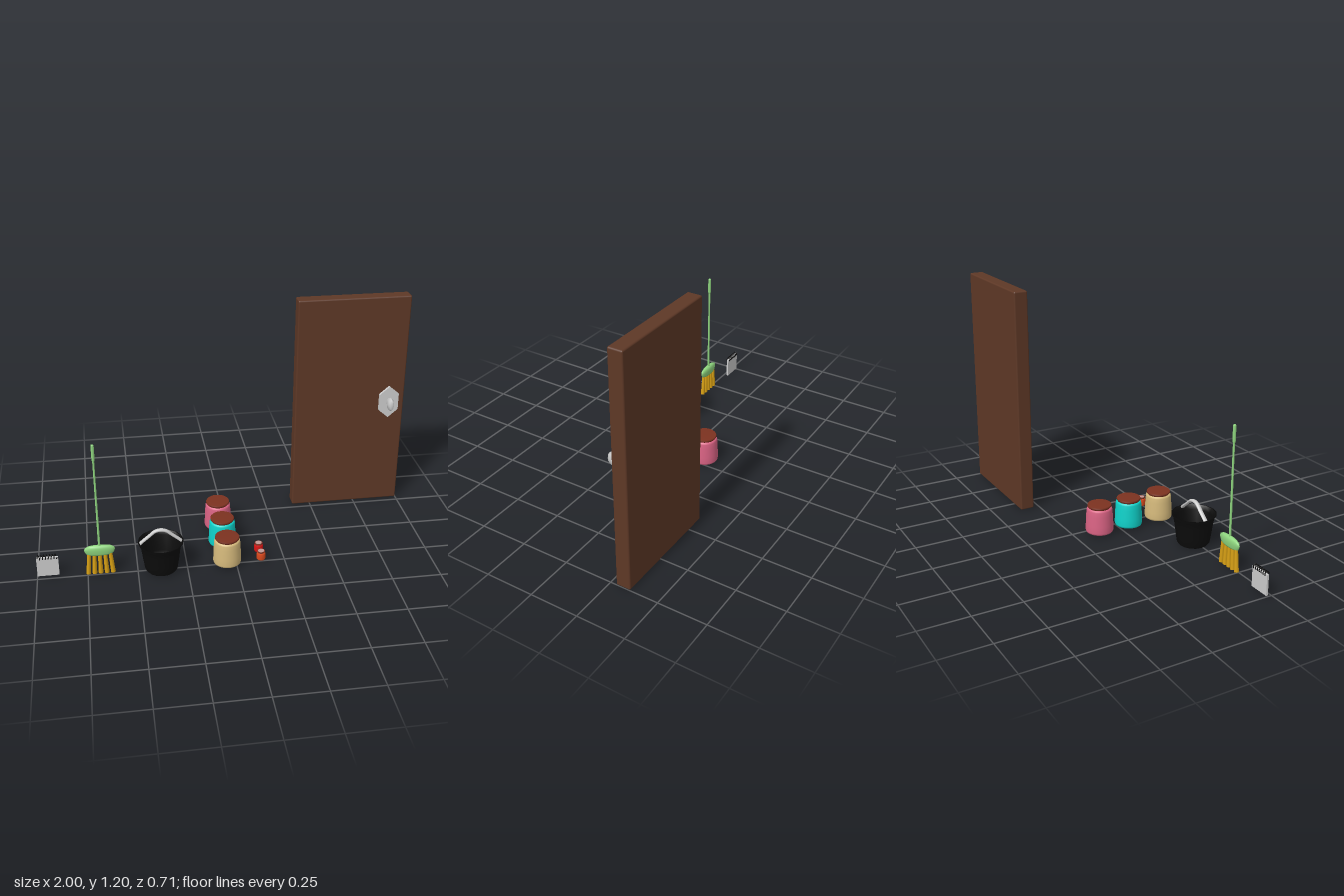
import * as THREE from 'three';
import { RoundedBoxGeometry } from 'three/addons/geometries/RoundedBoxGeometry.js';

const mat = (color, extra = {}) => new THREE.MeshStandardMaterial({ color, ...extra });
const grey = mat(0xcccccc);
const black = mat(0x0c0c0c, { side: THREE.DoubleSide });
const green = mat(0x8fd67f);
const yellow = mat(0xd9a114);
const wood = mat(0x5e3826);
const lidBrown = mat(0x7c3220);

function add(parent, name, geometry, material, x = 0, y = 0, z = 0) {
  const mesh = new THREE.Mesh(geometry, material);
  mesh.name = name;
  mesh.position.set(x, y, z);
  parent.add(mesh);
  return mesh;
}

function group(parent, name, x = 0, y = 0, z = 0) {
  const g = new THREE.Group();
  g.name = name;
  g.position.set(x, y, z);
  parent.add(g);
  return g;
}

// Lathe from [radius, height] pairs, listed bottom to top
const lathe = (points, sides) =>
  new THREE.LatheGeometry(points.map(([r, y]) => new THREE.Vector2(r, y)), sides);

function addDoor(root) {
  const door = group(root, 'door', 0.7, 0.605, -0.318);
  add(door, 'doorPanel', new RoundedBoxGeometry(0.6, 1.2, 0.075, 2, 0.008), wood);

  // Stretched hexagonal plate with a narrow knob
  const lock = group(door, 'doorHandle', 0.213, 0.008, 0.038);
  const plate = add(lock, 'handlePlate', new THREE.CylinderGeometry(0.09, 0.09, 0.015, 6), mat(0xcccccc, { flatShading: true }), 0, 0, 0.008);
  plate.rotation.x = Math.PI / 2;
  plate.scale.x = 0.68;
  const knob = add(lock, 'knob', lathe([
    [0.026, 0.01], [0.025, 0.027], [0.035, 0.033], [0.037, 0.052], [0.03, 0.066], [0.022, 0.074], [0, 0.074],
  ], 8), grey);
  knob.rotation.x = Math.PI / 2;
  knob.scale.x = 0.48;
}

function addNotepad(root) {
  const pad = group(root, 'notepad', -0.945, 0, 0.225);
  add(pad, 'pages', new THREE.BoxGeometry(0.108, 0.106, 0.01), grey, 0, 0.063, 0);
  // Wire spiral along the top edge
  const turns = 7, steps = turns * 10, points = [];
  for (let i = 0; i <= steps; i++) {
    const a = (i / 10) * Math.PI * 2;
    points.push(new THREE.Vector3(-0.049 + 0.098 * i / steps, 0.117 + 0.012 * Math.sin(a), 0.009 * Math.cos(a)));
  }
  add(pad, 'spiral', new THREE.TubeGeometry(new THREE.CatmullRomCurve3(points), steps * 2, 0.0026, 6), black);
}

function addBroom(root) {
  const broom = group(root, 'broom', -0.685, 0, 0.24);
  add(broom, 'broomStick', new THREE.CylinderGeometry(0.005, 0.006, 0.5, 10), green, 0, 0.4, 0);
  add(broom, 'broomGrip', lathe([
    [0.005, 0.64], [0.008, 0.65], [0.008, 0.725], [0.006, 0.731], [0, 0.731],
  ], 10), green);

  // Domed head, flattened front to back
  const head = add(broom, 'broomHead', lathe([
    [0, 0.118], [0.055, 0.117], [0.068, 0.125], [0.077, 0.145], [0.073, 0.158], [0.055, 0.168], [0.02, 0.172], [0, 0.173],
  ], 24), green);
  head.scale.z = 0.21;

  // Bristle tufts fan out slightly
  for (let i = -2; i <= 2; i++) {
    const tuft = add(broom, 'bristles', new THREE.CylinderGeometry(0.009, 0.012, 0.115, 8), yellow, i * 0.0285, 0.067, 0);
    tuft.rotation.z = i * 0.04;
  }
}

function addBucket(root) {
  const bucket = group(root, 'bucket', -0.38, 0, 0.24);
  add(bucket, 'bucketBody', lathe([
    [0, 0.006], [0.074, 0.006], [0.083, 0.016], [0.09, 0.06], [0.098, 0.12], [0.104, 0.15], [0.115, 0.167],
    [0.108, 0.167], [0.096, 0.145], [0.084, 0.06], [0.076, 0.02], [0, 0.02],
  ], 16), black);

  // Bell-shaped carrying handle
  const arch = [[-0.107, 0.158], [-0.09, 0.174], [-0.055, 0.203], [-0.027, 0.226], [0, 0.232],
    [0.027, 0.226], [0.055, 0.203], [0.09, 0.174], [0.107, 0.158]];
  const path = new THREE.CatmullRomCurve3(arch.map(([x, y]) => new THREE.Vector3(x, y, 0)));
  const handle = add(bucket, 'bucketHandle', new THREE.TubeGeometry(path, 40, 0.0075, 8), grey);
  handle.scale.z = 1.6;
}

function addJar(root, color, z) {
  const jar = group(root, 'jar', -0.045, 0, z);
  add(jar, 'jarBody', lathe([
    [0, 0.014], [0.062, 0.014], [0.069, 0.018], [0.072, 0.027], [0.071, 0.06], [0.068, 0.115],
    [0.066, 0.14], [0.063, 0.148], [0.055, 0.15], [0, 0.15],
  ], 24), mat(color));
  add(jar, 'jarLid', lathe([
    [0.055, 0.146], [0.057, 0.15], [0.062, 0.156], [0.062, 0.162], [0.059, 0.166], [0, 0.166],
  ], 24), lidBrown);
}

function addPot(root, color, z) {
  const pot = group(root, 'smallPot', 0.13, 0, z);
  add(pot, 'potBody', lathe([
    [0, 0.013], [0.02, 0.013], [0.023, 0.018], [0.023, 0.046], [0.019, 0.053], [0, 0.053],
  ], 14), mat(color));
  add(pot, 'potCap', new THREE.CylinderGeometry(0.02, 0.018, 0.01, 14), mat(0x8a3a2a), 0, 0.056, 0);
  add(pot, 'potCapTop', new THREE.CylinderGeometry(0.016, 0.016, 0.002, 14), mat(0xc09a96), 0, 0.061, 0);
}

export function createModel() {
  const root = new THREE.Group();
  root.name = 'householdSet';
  addDoor(root);
  addNotepad(root);
  addBroom(root);
  addBucket(root);
  [[0xd6ba7c, 0.24], [0x0fd2ca, 0.057], [0xda6384, -0.115]].forEach(([c, z]) => addJar(root, c, z));
  [[0xd9481c, 0.24], [0xd81414, 0.164]].forEach(([c, z]) => addPot(root, c, z));
  return root;
}
